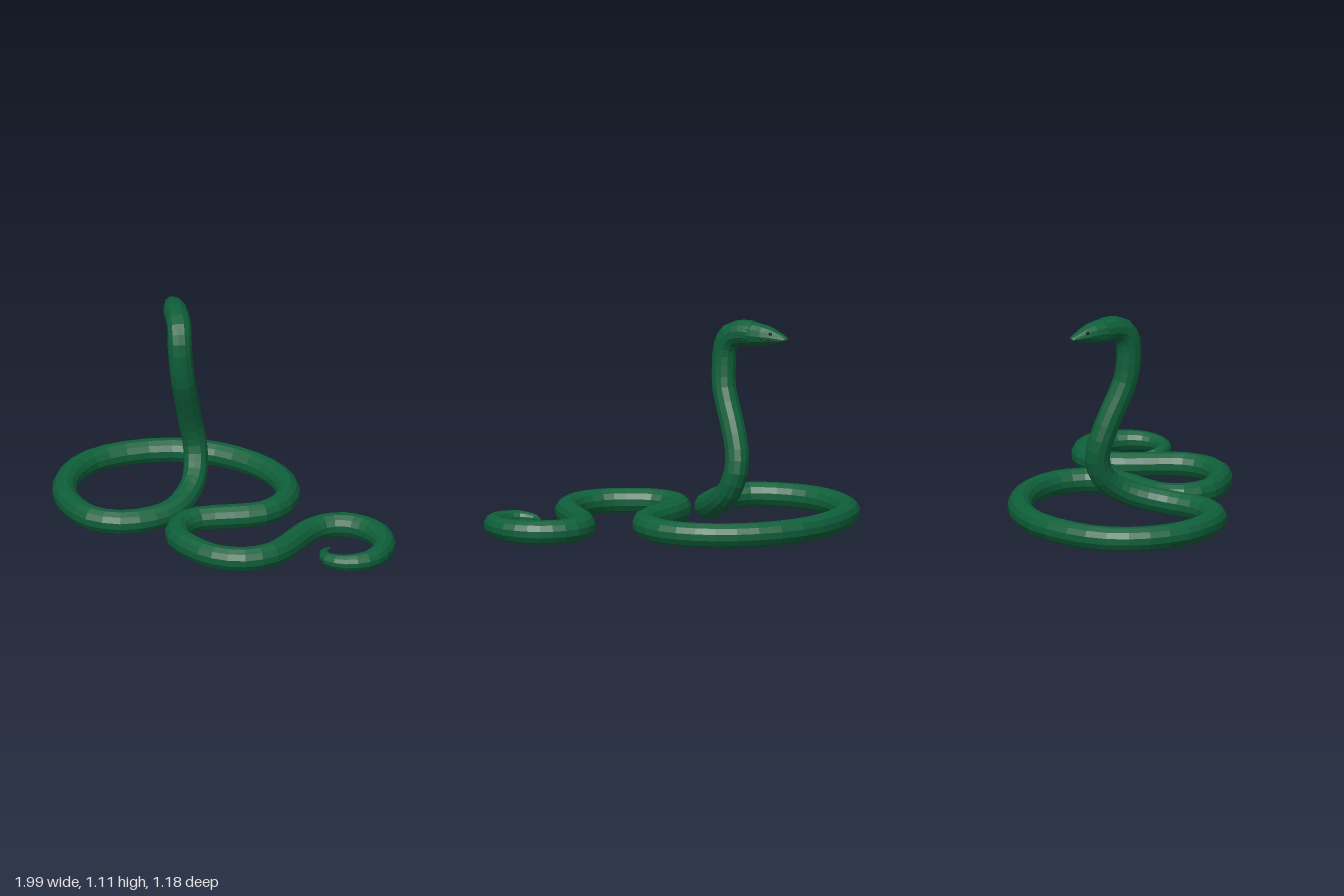
import * as THREE from 'three';

const SIDES = 12;
const skin = new THREE.MeshStandardMaterial({ color: 0x0f5f3a, flatShading: true });
const dark = new THREE.MeshStandardMaterial({ color: 0x06120c });

// Skins a list of rings (arrays of Vector3, counter-clockwise about the path) and caps both ends
function loft(rings) {
  const n = rings[0].length, pos = [], idx = [];
  const push = (p) => pos.push(p.x, p.y, p.z);
  rings.forEach((ring) => ring.forEach(push));
  for (let i = 0; i < rings.length - 1; i++) {
    for (let j = 0; j < n; j++) {
      const a = i * n + j, b = i * n + (j + 1) % n;
      idx.push(a, b, a + n, b, b + n, a + n);
    }
  }
  [0, rings.length - 1].forEach((r) => {
    const centre = new THREE.Vector3();
    rings[r].forEach((p) => centre.addScaledVector(p, 1 / n));
    const c = pos.length / 3;
    push(centre);
    for (let j = 0; j < n; j++) {
      const a = r * n + j, b = r * n + (j + 1) % n;
      if (r === 0) idx.push(c, b, a); else idx.push(c, a, b);
    }
  });
  const g = new THREE.BufferGeometry();
  g.setAttribute('position', new THREE.Float32BufferAttribute(pos, 3));
  g.setIndex(idx);
  g.computeVertexNormals();
  return g;
}

// Ground path from tail tip onwards: x, z
const groundPath = [
  [0.69, -0.085], [0.71, -0.015], [0.79, 0.026], [0.88, -0.01], [0.937, -0.1], [0.935, -0.2],
  [0.87, -0.31], [0.77, -0.37], [0.66, -0.38], [0.55, -0.34], [0.48, -0.24], [0.475, -0.12],
  [0.515, 0.05], [0.53, 0.19], [0.47, 0.33], [0.34, 0.41], [0.2, 0.42], [0.05, 0.39],
  [-0.055, 0.28], [-0.05, 0.15], [0.06, 0.0], [0.145, -0.13], [0.145, -0.28], [0.06, -0.42],
  [-0.1, -0.51], [-0.3, -0.535], [-0.52, -0.49], [-0.73, -0.36], [-0.88, -0.15], [-0.937, 0.05],
  [-0.89, 0.25], [-0.77, 0.41], [-0.61, 0.5], [-0.45, 0.527], [-0.31, 0.46], [-0.225, 0.31],
];
// Raised neck: x, y, z
const neckPath = [
  [-0.2, 0.075, 0.18], [-0.222, 0.105, 0.06], [-0.255, 0.15, -0.03], [-0.3, 0.215, -0.095],
  [-0.333, 0.32, -0.122], [-0.34, 0.43, -0.1], [-0.315, 0.58, -0.045], [-0.282, 0.74, 0.018],
  [-0.282, 0.86, 0.036], [-0.29, 0.96, 0.036], [-0.32, 1.025, 0.008], [-0.38, 1.05, -0.042],
  [-0.43, 1.05, -0.08],
];
// Radii over the first tail points; the rest stays full
const tailRadii = [0.004, 0.022, 0.036, 0.043, 0.049, 0.054, 0.059];
const FULL = 0.0635;

function bodyGeometry() {
  const points = [
    ...groundPath.map(([x, z]) => new THREE.Vector3(x, 0.0645, z)),
    ...neckPath.map((p) => new THREE.Vector3(...p)),
  ];
  const curve = new THREE.CatmullRomCurve3(points);
  const spans = points.length - 1, steps = spans * 2, rings = [];
  const radius = (k) => tailRadii[k] ?? FULL;
  const normal = new THREE.Vector3(0, 1, 0), binormal = new THREE.Vector3();
  for (let i = 0; i <= steps; i++) {
    const t = i / steps, k = Math.floor(t * spans), f = t * spans - k;
    const r = THREE.MathUtils.lerp(radius(k), radius(k + 1), f);
    const centre = curve.getPoint(t), tangent = curve.getTangent(t);
    normal.addScaledVector(tangent, -normal.dot(tangent)).normalize();
    binormal.crossVectors(tangent, normal);
    rings.push(Array.from({ length: SIDES }, (_, j) => {
      const a = (j + 0.5) / SIDES * Math.PI * 2;
      return centre.clone()
        .addScaledVector(normal, r * Math.cos(a) / Math.cos(Math.PI / SIDES))
        .addScaledVector(binormal, r * Math.sin(a));
    }));
  }
  return loft(rings);
}

// Head sections along the snout: distance, centre height, half width, half height
const headSections = [
  [0.09, 1.04, 0.05, 0.05], [0.13, 1.047, 0.062, 0.063], [0.19, 1.048, 0.064, 0.063],
  [0.25, 1.049, 0.059, 0.054], [0.30, 1.048, 0.047, 0.041], [0.35, 1.044, 0.032, 0.024],
  [0.38, 1.042, 0.021, 0.012], [0.39, 1.042, 0.01, 0.005],
];

function buildHead() {
  const head = new THREE.Group();
  head.name = 'head';
  const rings = headSections.map(([s, y, w, h]) => Array.from({ length: SIDES }, (_, j) => {
    const a = j / SIDES * Math.PI * 2;
    return new THREE.Vector3(w * Math.cos(a), y + h * Math.sin(a), s);
  }));
  const skull = new THREE.Mesh(loft(rings), skin);
  skull.name = 'skull';
  head.add(skull);

  // Eyes on both sides of the snout
  for (const side of [-1, 1]) {
    const eye = new THREE.Mesh(new THREE.SphereGeometry(0.009, 10, 8), dark);
    eye.name = side > 0 ? 'leftEye' : 'rightEye';
    eye.position.set(side * 0.037, 1.068, 0.308);
    head.add(eye);
  }

  // Thin mouth line wrapping the snout
  const half = [[0.058, 1.034, 0.25], [0.045, 1.034, 0.30], [0.03, 1.036, 0.35], [0.019, 1.038, 0.38]];
  const line = [...half, [0, 1.04, 0.39], ...half.map(([x, y, z]) => [-x, y, z]).reverse()];
  const path = new THREE.CatmullRomCurve3(line.map((p) => new THREE.Vector3(...p)));
  const mouth = new THREE.Mesh(new THREE.TubeGeometry(path, 24, 0.0015, 5), dark);
  mouth.name = 'mouth';
  head.add(mouth);

  head.position.set(-0.29, 0, 0.03);
  head.rotation.y = Math.atan2(-0.78, -0.62);
  return head;
}

export function createModel() {
  const model = new THREE.Group();
  model.name = 'snake';
  const body = new THREE.Mesh(bodyGeometry(), skin);
  body.name = 'body';
  model.add(body, buildHead());
  return model;
}
